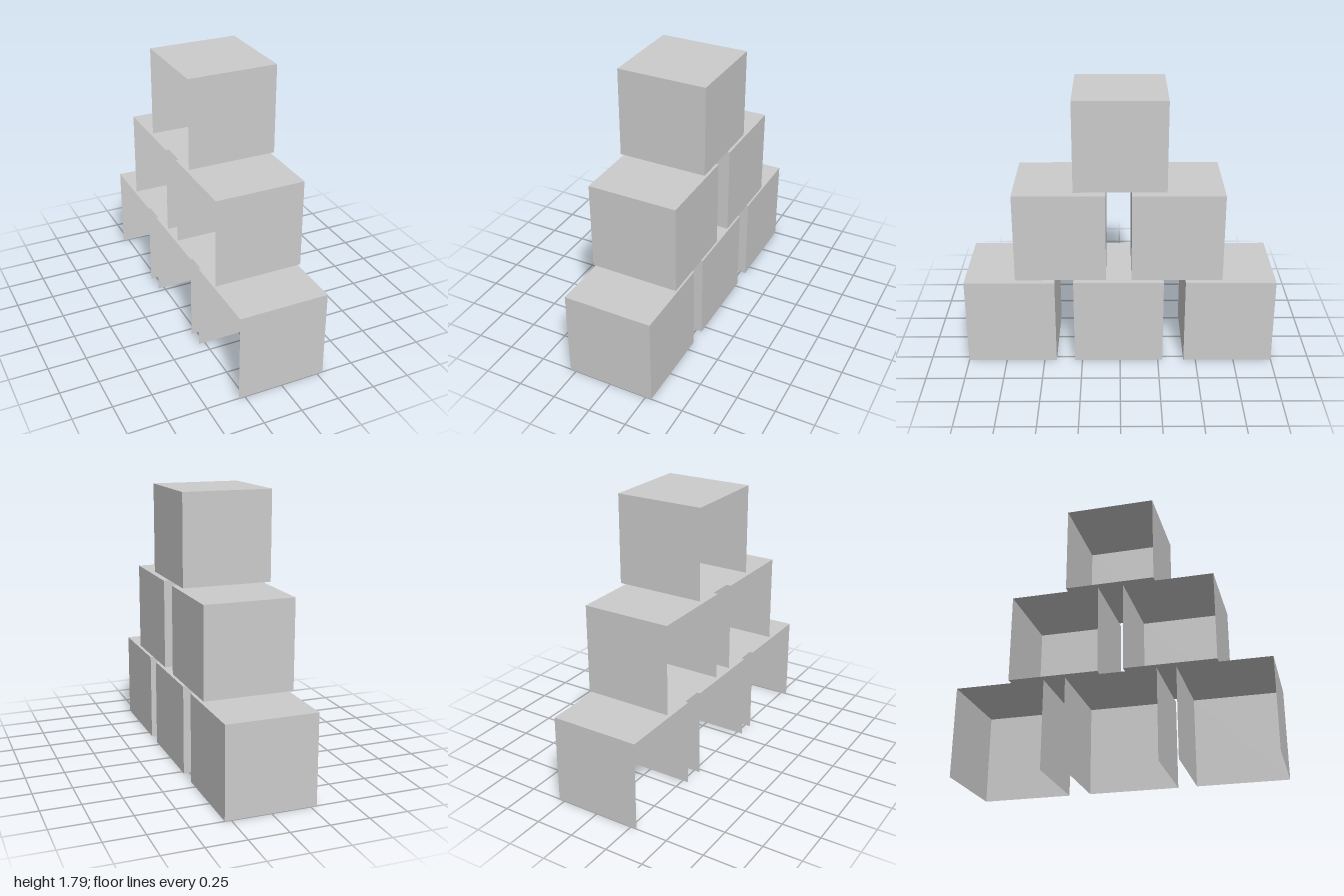
import * as THREE from 'three';

const SIZE = 0.58;
// Face order inside a BoxGeometry index (six indices per face)
const FACES = ['+x', '-x', '+y', '-y', '+z', '-z'];

// Box shell with the listed sides left out
function openBox(missing) {
  const geometry = new THREE.BoxGeometry(SIZE, SIZE, SIZE);
  const index = Array.from(geometry.index.array);
  geometry.setIndex(index.filter((_, i) => !missing.includes(FACES[Math.floor(i / 6)])));
  geometry.clearGroups();
  return geometry;
}

export function createModel() {
  const model = new THREE.Group();
  model.name = 'stackedCrates';
  const material = new THREE.MeshStandardMaterial({ color: 0xcccccc, side: THREE.DoubleSide });

  // Every crate is open at -x; the ground row also has no floor
  const rows = [
    { name: 'bottomCrate', y: 0, z: [0.71, 0.01, -0.71], missing: ['-x', '-y'] },
    { name: 'middleCrate', y: 0.602, z: [0.38, -0.363], missing: ['-x'] },
    { name: 'topCrate', y: 1.207, z: [0], missing: ['-x'] },
  ];

  for (const row of rows) {
    const geometry = openBox(row.missing);
    row.z.forEach((z, i) => {
      const crate = new THREE.Mesh(geometry, material);
      crate.name = row.z.length > 1 ? `${row.name}${i + 1}` : row.name;
      crate.position.set(0, row.y + SIZE / 2, z);
      model.add(crate);
    });
  }
  return model;
}
